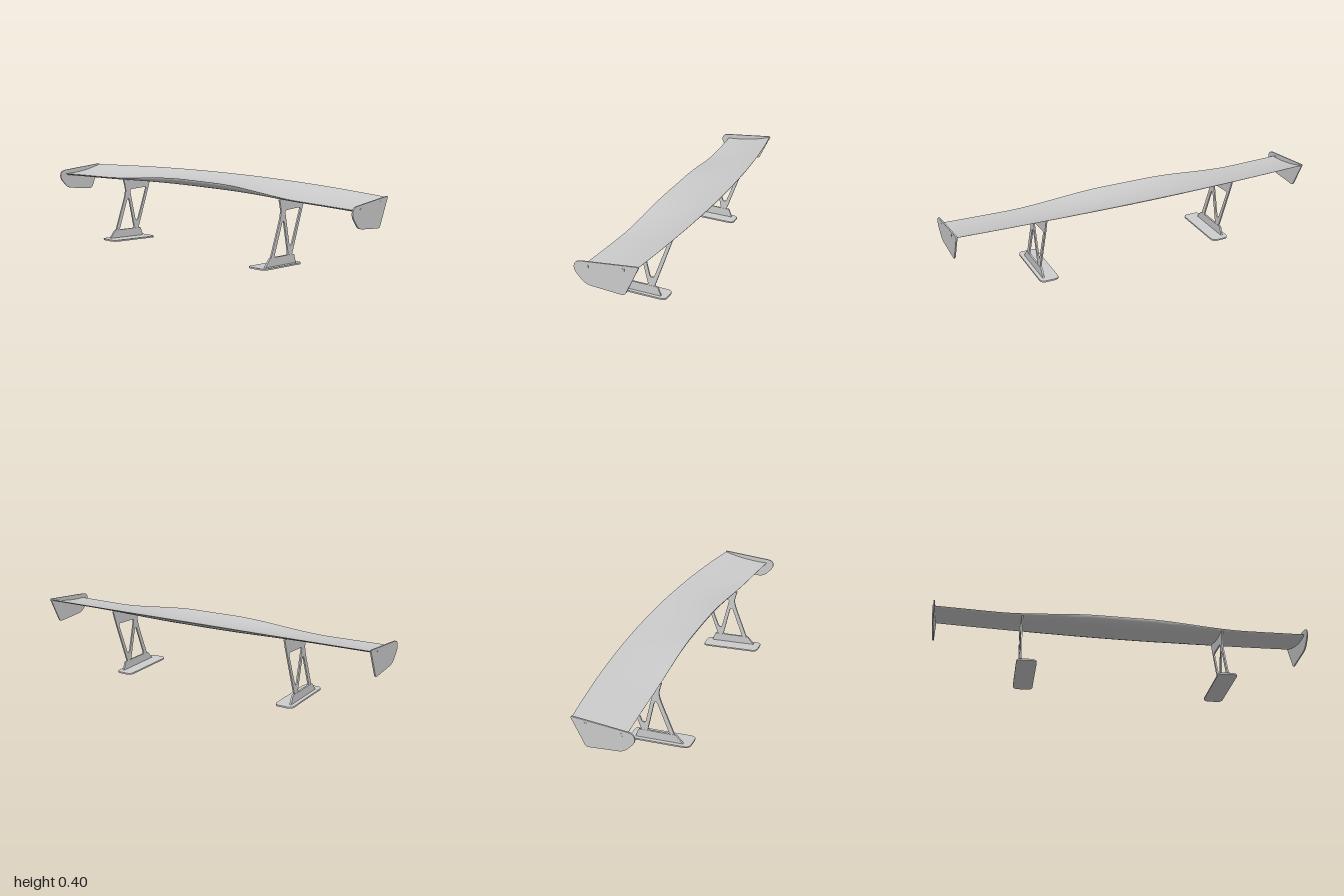
import * as THREE from 'three';
import { toCreasedNormals } from 'three/addons/utils/BufferGeometryUtils.js';

const material = new THREE.MeshStandardMaterial({ color: 0xcccccc });

function part(name, geometry, x = 0) {
  const mesh = new THREE.Mesh(geometry, material);
  mesh.name = name;
  mesh.position.x = x;
  return mesh;
}

// Closed outline from [a, b, cornerRadius] points
function rounded(points, path = new THREE.Shape()) {
  const n = points.length;
  points.forEach(([a, b, r = 0], i) => {
    const p = new THREE.Vector2(a, b);
    const toward = (q) => {
      const d = new THREE.Vector2(q[0], q[1]).sub(p);
      return d.setLength(Math.min(r, d.length() * 0.49)).add(p);
    };
    const start = toward(points[(i + n - 1) % n]);
    const end = toward(points[(i + 1) % n]);
    if (i === 0) path.moveTo(start.x, start.y);
    else path.lineTo(start.x, start.y);
    if (r > 0) path.quadraticCurveTo(p.x, p.y, end.x, end.y);
  });
  path.closePath();
  return path;
}

// Upright plate drawn in (z, y), with its thickness centred on x
function plate(points, thickness, holes = []) {
  const shape = rounded(points);
  shape.holes = holes.map((h) => rounded(h, new THREE.Path()));
  const g = new THREE.ExtrudeGeometry(shape, { depth: thickness, bevelEnabled: false, curveSegments: 8 });
  g.rotateY(-Math.PI / 2);
  g.translate(thickness / 2, 0, 0);
  return toCreasedNormals(g, 0.6);
}

// Aerofoil sections swept across the span; the middle is raised and thicker
function wingGeometry() {
  const spans = 64, steps = 20, ring = steps * 2 + 1;
  const positions = [], index = [];
  for (let i = 0; i <= spans; i++) {
    const x = -0.995 + (1.99 * i) / spans, ax = Math.abs(x);
    const outer = THREE.MathUtils.smoothstep(ax, 0.12, 0.68);
    const zLead = 0.065 + 0.045 * ax ** 1.9;
    const zTrail = -0.228 + 0.075 * x * x;
    const yLead = 0.388 - 0.034 * outer - 0.008 * x * x;
    const yTrail = 0.399 - 0.021 * x * x;
    const thick = 0.035 - 0.02 * outer;
    const dip = 0.015 - 0.005 * outer;
    for (let j = 0; j < ring; j++) {
      const t = Math.abs(j - steps) / steps;
      const u = 1 - Math.cos((t * Math.PI) / 2);
      const top = THREE.MathUtils.lerp(yLead, yTrail, u) - dip * 4 * u * (1 - u);
      const body = thick * (2.6 * Math.sqrt(u) * (1 - u) + 0.08 * u);
      positions.push(x, j <= steps ? top : top - body, THREE.MathUtils.lerp(zLead, zTrail, u));
    }
  }
  for (let i = 0; i < spans; i++) {
    for (let j = 0; j < ring; j++) {
      const k = (j + 1) % ring;
      const a = i * ring + j, b = a + ring, d = i * ring + k, c = d + ring;
      index.push(a, d, b, b, d, c);
    }
  }
  const g = new THREE.BufferGeometry();
  g.setAttribute('position', new THREE.Float32BufferAttribute(positions, 3));
  g.setIndex(index);
  return toCreasedNormals(g, 0.9);
}

// Rounded mounting foot, sloping down to the rear
function footGeometry() {
  const w = 0.051;
  const shape = rounded([
    [-w, -0.098, 0.03], [w, -0.098, 0.03], [w, 0.228, 0.03], [-w, 0.228, 0.03],
  ]);
  const g = new THREE.ExtrudeGeometry(shape, { depth: 0.008, bevelEnabled: false, curveSegments: 8 });
  g.rotateX(Math.PI / 2);
  const p = g.attributes.position;
  for (let i = 0; i < p.count; i++) {
    p.setY(i, p.getY(i) + 0.008 + (p.getZ(i) + 0.098) * 0.068);
  }
  return toCreasedNormals(g, 0.6);
}

const endPlateOutline = [
  [-0.161, 0.384, 0.012], [0.145, 0.367, 0.03], [0.155, 0.325, 0.025],
  [0.098, 0.26, 0.03], [-0.09, 0.238, 0.014], [-0.127, 0.314, 0.03],
];
const frameOutline = [
  [0.149, 0.05], [0.07, 0.25, 0.03], [0.062, 0.29, 0.02], [0.078, 0.346],
  [-0.03, 0.347], [-0.145, 0.364], [-0.124, 0.3, 0.02], [-0.031, 0.05],
];
const frameHoles = [
  [[0.117, 0.066, 0.012], [0.052, 0.236, 0.015], [0.039, 0.236, 0.015], [-0.001, 0.06, 0.012]],
  [[-0.011, 0.104, 0.012], [0.032, 0.288, 0.015], [-0.102, 0.288, 0.015], [-0.03, 0.104, 0.012]],
];
const webOutline = [
  [0.19, 0.025], [0.15, 0.069, 0.01], [-0.05, 0.056, 0.006], [-0.067, 0.008],
];

export function createModel() {
  const model = new THREE.Group();
  model.name = 'rearWing';
  model.add(part('wingBlade', wingGeometry()));

  for (const [side, s] of [['left', 1], ['right', -1]]) {
    // End plate with two square fixings
    const end = new THREE.Group();
    end.name = side + 'EndPlate';
    end.add(part('endPlate', plate(endPlateOutline, 0.007), s * 0.995));
    for (const [z, y] of [[0.086, 0.348], [-0.086, 0.36]]) {
      const fixing = part('fixing', new THREE.BoxGeometry(0.009, 0.013, 0.013), s * 0.9955);
      fixing.position.set(s * 0.9955, y, z);
      end.add(fixing);
    }

    // Support: pierced frame, base web and foot
    const support = new THREE.Group();
    support.name = side + 'Support';
    support.add(
      part('supportFrame', plate(frameOutline, 0.008, frameHoles), s * 0.54),
      part('baseWeb', plate(webOutline, 0.01), s * 0.54),
      part('foot', footGeometry(), s * 0.514),
    );
    model.add(end, support);
  }
  return model;
}
